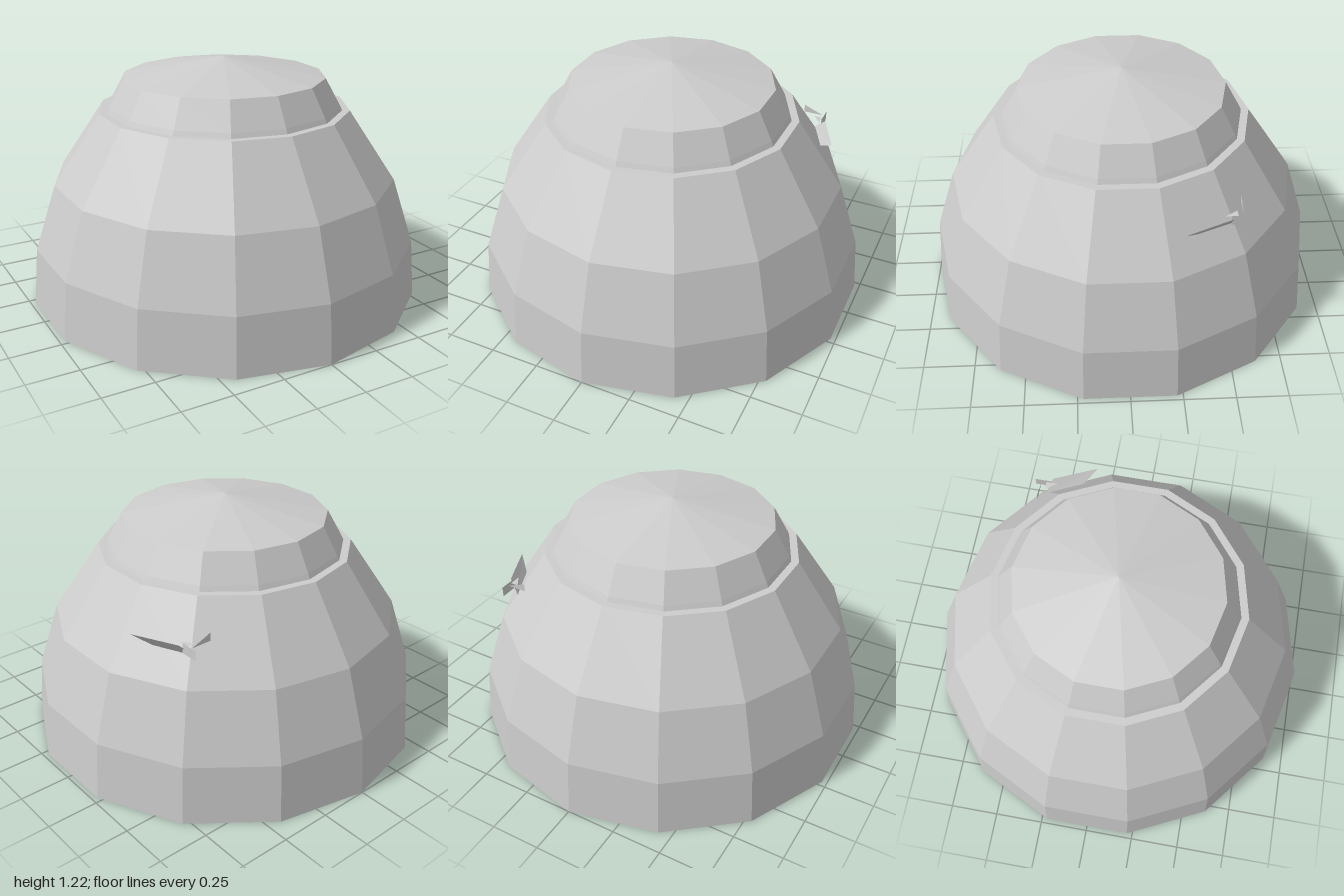
import * as THREE from 'three';

export function createModel() {
  const model = new THREE.Group();
  model.name = 'dome';
  const grey = new THREE.MeshStandardMaterial({ color: 0xcccccc, flatShading: true, side: THREE.DoubleSide });
  grey.name = 'plain grey';

  const add = (name, geometry) => {
    const mesh = new THREE.Mesh(geometry, grey);
    mesh.name = name;
    model.add(mesh);
    return mesh;
  };

  // Open fourteen-sided shell from [radius, height] pairs, bottom to top
  const shell = (name, profile) =>
    add(name, new THREE.LatheGeometry(profile.map(([r, y]) => new THREE.Vector2(r, y)), 14));

  // Flat convex plate from its corners
  const plate = (name, corners) => {
    const g = new THREE.BufferGeometry();
    g.setAttribute('position', new THREE.Float32BufferAttribute(corners.flat(), 3));
    const index = [];
    for (let i = 1; i < corners.length - 1; i++) index.push(0, i, i + 1);
    g.setIndex(index);
    g.computeVertexNormals();
    return add(name, g);
  };

  // Outer wall with its narrow flat ledge
  shell('outerShell', [[1, 0], [0.975, 0.29], [0.867, 0.62], [0.632, 0.967], [0.594, 0.967]]);

  // Cap, whose skirt continues down inside the outer wall
  shell('capShell', [[0.8, 0.68], [0.594, 0.967], [0.583, 0.99], [0.508, 1.125], [0, 1.22]]);

  // Small bracket on the back left of the wall
  const bracketUnderside = plate('bracketUnderside', [
    [0.76, 0.81, -0.25], [0.66, 0.81, -0.47], [0.6, 0.75, -0.5], [0.68, 0.75, -0.32],
  ]);
  // The sloping plate shows only from below
  bracketUnderside.material = grey;
  plate('bracketTop', [[0.595, 0.81, -0.5], [0.635, 0.81, -0.44], [0.635, 0.81, -0.5]]);
  plate('bracketEnd', [
    [0.64, 0.765, -0.47], [0.64, 0.765, -0.56], [0.64, 0.815, -0.56], [0.64, 0.815, -0.47],
  ]);
  plate('bracketFin', [
    [0.53, 0.81, -0.525], [0.63, 0.81, -0.525], [0.53, 0.85, -0.525],
  ]);

  return model;
}
